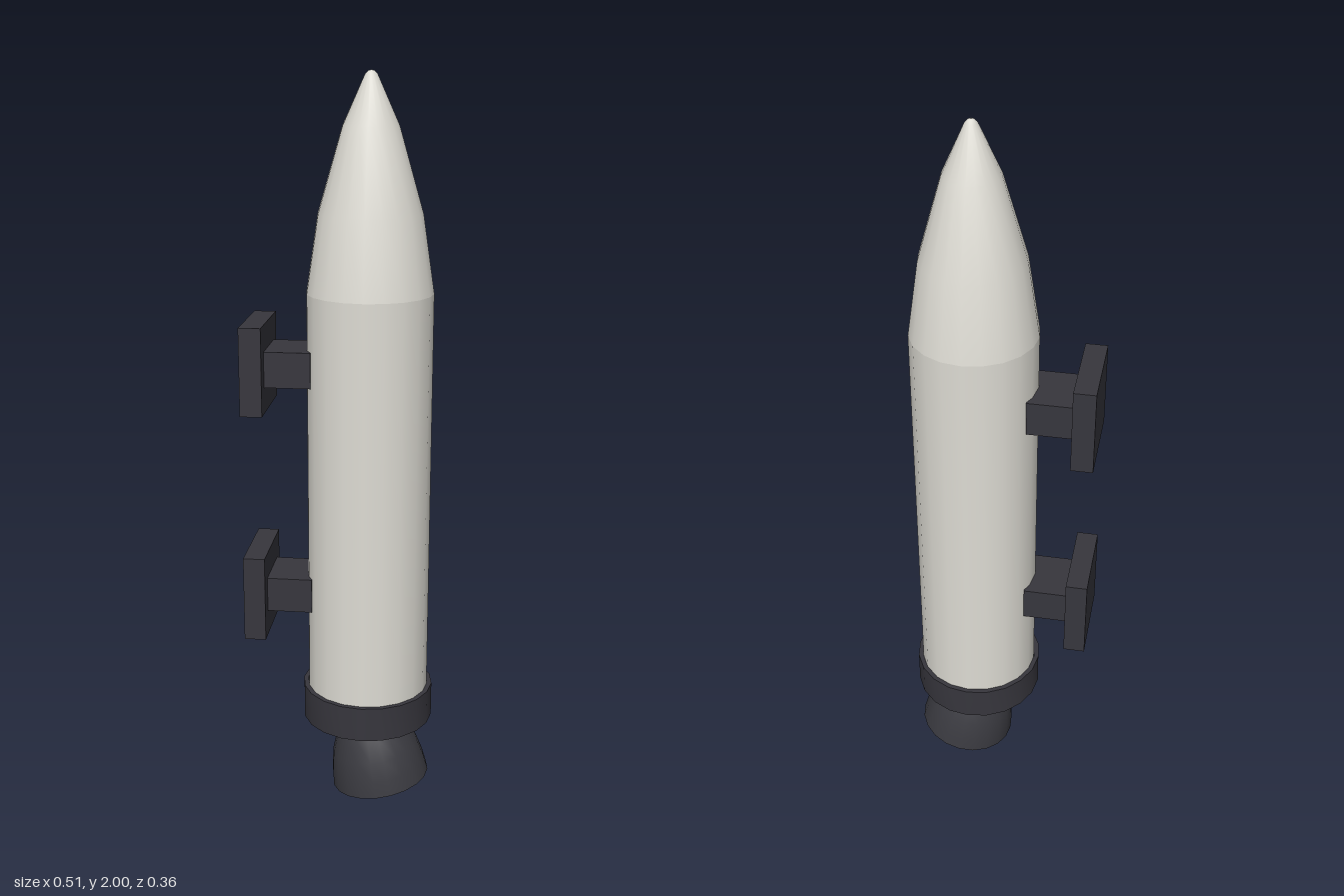
import * as THREE from 'three';
import { toCreasedNormals } from 'three/addons/utils/BufferGeometryUtils.js';

const SIDES = 20;
const AXIS_X = 0.073; // centre line of the booster

const material = (name, color, side = THREE.FrontSide) => {
  const m = new THREE.MeshStandardMaterial({ color, side });
  m.name = name;
  return m;
};

// Turned part from [radius, height] pairs, listed bottom to top on the outside
const lathe = (pairs) =>
  new THREE.LatheGeometry(pairs.map(([r, y]) => new THREE.Vector2(r, y)), SIDES);

export function createModel() {
  const white = material('white paint', 0xdedcd4, THREE.DoubleSide);
  const dark = material('dark metal', 0x37363d);
  const bell = material('nozzle metal', 0x3a3a40, THREE.DoubleSide);
  const brass = material('brass', 0x8c7a58);

  const model = new THREE.Group();
  model.name = 'rocketBooster';
  const add = (name, geometry, mat, x, y, z = 0, parent = model) => {
    const mesh = new THREE.Mesh(geometry, mat);
    mesh.name = name;
    mesh.position.set(x, y, z);
    parent.add(mesh);
    return mesh;
  };

  // Hollow tube and pointed nose
  add('bodyTube', new THREE.CylinderGeometry(0.168, 0.168, 1.205, SIDES, 1, true), white, AXIS_X, 0.8375);
  add('noseCone', lathe([
    [0.168, 1.44], [0.137, 1.645], [0.073, 1.865], [0.016, 1.99], [0.008, 1.998], [0, 2],
  ]), white, AXIS_X, 0);

  // Skirt ring round the tail
  const ring = lathe([[0.169, 0.228], [0.182, 0.228], [0.182, 0.325], [0.169, 0.325], [0.169, 0.228]]);
  add('skirtRing', toCreasedNormals(ring, 0.6), dark, AXIS_X, 0);

  // Closing plate inside the tail and the engine mount under it
  add('bulkhead', new THREE.CylinderGeometry(0.167, 0.167, 0.01, SIDES), white, AXIS_X, 0.36);
  add('engineMount', new THREE.CylinderGeometry(0.08, 0.06, 0.075, SIDES), brass, AXIS_X - 0.005, 0.32);

  // Swivelled engine bell, open at the bottom
  const nozzle = add('engineNozzle', lathe([
    [0.139, 0], [0.134, 0.045], [0.122, 0.1], [0.1, 0.155], [0.073, 0.205], [0.05, 0.25], [0.045, 0.27],
  ]), bell, 0.112, 0.025);
  nozzle.rotation.z = THREE.MathUtils.degToRad(10);

  // Side brackets: an arm with a square mounting plate
  [['lower', 0.607], ['upper', 1.243]].forEach(([name, y]) => {
    const bracket = new THREE.Group();
    bracket.name = `${name}Bracket`;
    bracket.position.y = y;
    model.add(bracket);
    add('bracketArm', new THREE.BoxGeometry(0.125, 0.096, 0.16), dark, -0.1375, 0, 0, bracket);
    add('bracketPlate', new THREE.BoxGeometry(0.059, 0.237, 0.24), dark, -0.2275, 0, 0, bracket);
  });

  return model;
}
